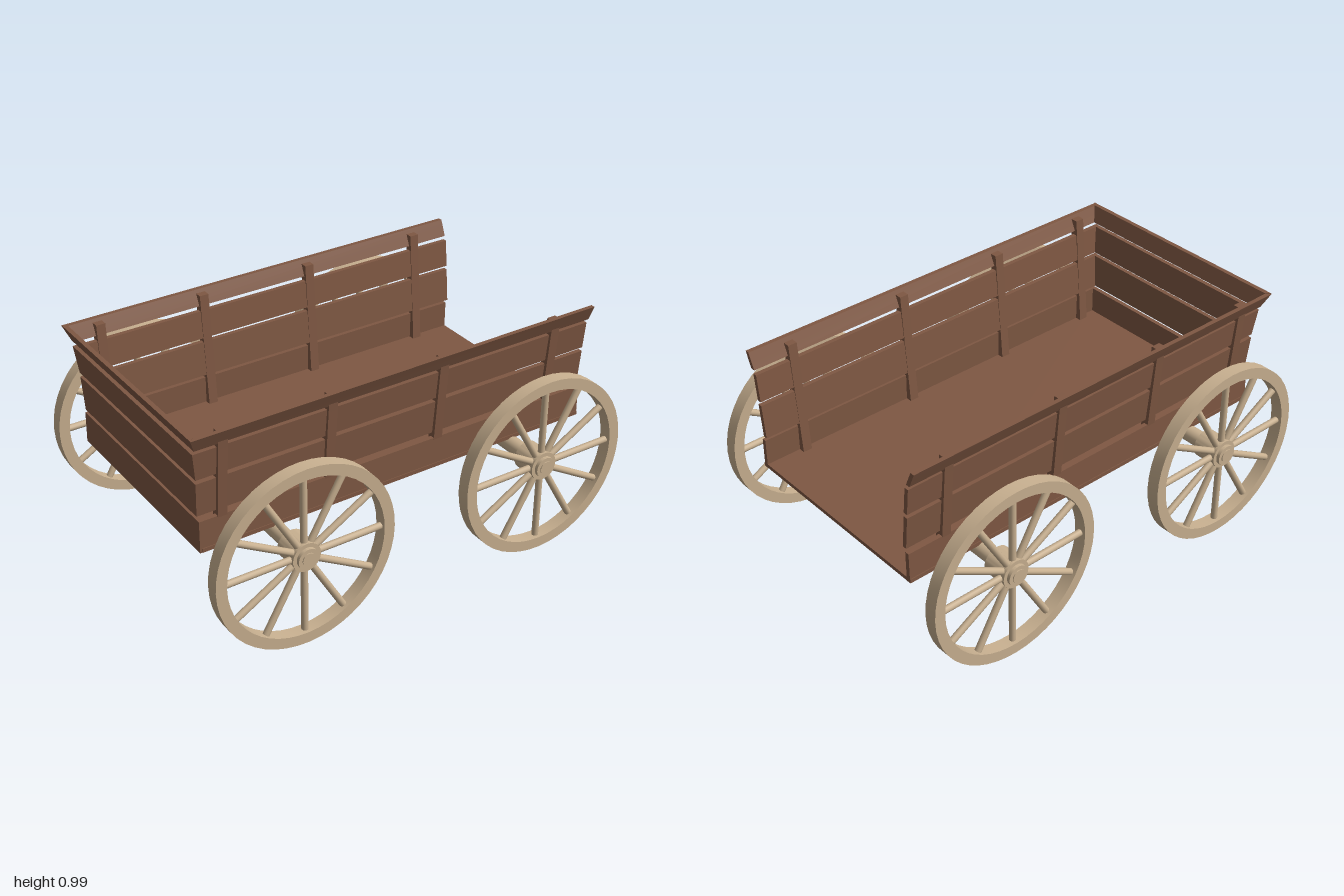
import * as THREE from 'three';
import { toCreasedNormals } from 'three/addons/utils/BufferGeometryUtils.js';

const wood = new THREE.MeshStandardMaterial({ color: 0x7f5843 });
wood.name = 'brown planks';
const pale = new THREE.MeshStandardMaterial({ color: 0xc8b090 });
pale.name = 'pale wheel wood';

function mesh(name, geometry, material) {
  const m = new THREE.Mesh(geometry, material);
  m.name = name;
  return m;
}

// Box whose corners are moved by rule(sx, sy, sz), each sign -1 or 1
function skewBox(rule) {
  const g = new THREE.BoxGeometry(2, 2, 2);
  const p = g.attributes.position;
  for (let i = 0; i < p.count; i++) p.setXYZ(i, ...rule(p.getX(i), p.getY(i), p.getZ(i)));
  g.computeVertexNormals();
  return g;
}

// Turned part around the z axis from [radius, z] points
function turned(points) {
  const g = new THREE.LatheGeometry(points.map(([r, z]) => new THREE.Vector2(r, z)), 48);
  g.rotateX(Math.PI / 2);
  return toCreasedNormals(g, 0.6);
}

// Plank rows: bottom and top heights, side offsets and closed-end offsets
const ROWS = [
  { y: [0.44, 0.582], z: [0.492, 0.49], x: [0.94, 0.938] },
  { y: [0.602, 0.757], z: [0.477, 0.492], x: [0.94, 0.945] },
  { y: [0.775, 0.9], z: [0.493, 0.506], x: [0.945, 0.96] },
  { y: [0.92, 0.988], z: [0.516, 0.546], x: [0.957, 0.985] },
];
const THICK = 0.02, OPEN_END = 0.95, SHIFT = -0.007;

function createBed() {
  const bed = new THREE.Group();
  bed.name = 'bed';
  bed.position.z = SHIFT;

  const floor = mesh('floor', new THREE.BoxGeometry(1.88, 0.018, 0.99), wood);
  floor.position.set(0.01, 0.45, 0);
  bed.add(floor);

  ROWS.forEach((row, r) => {
    const pick = (pair, s) => pair[s > 0 ? 1 : 0];
    // side planks, mitred at the closed end
    for (const side of [1, -1]) {
      bed.add(mesh('sidePlank' + (r + 1), skewBox((sx, sy, sz) => {
        const inset = sz === side ? 0 : THICK;
        const x = sx > 0 ? OPEN_END : -pick(row.x, sy) + inset;
        const lift = r === 3 && sy > 0 ? sx * 0.003 : 0;
        return [x, pick(row.y, sy) + lift, side * (pick(row.z, sy) - inset)];
      }), wood));
    }
    // closed end planks
    bed.add(mesh('endPlank' + (r + 1), skewBox((sx, sy, sz) => {
      const inset = sx < 0 ? 0 : THICK;
      return [-pick(row.x, sy) + inset, pick(row.y, sy), sz * (pick(row.z, sy) - inset)];
    }), wood));
  });

  // leaning uprights inside and outside the side planks
  for (const side of [1, -1]) {
    for (const x of [-0.835, -0.345, 0.19, 0.765]) {
      const post = (name, low, high) => bed.add(mesh(name, skewBox((sx, sy, sz) => {
        const [y, inner, outer] = sy < 0 ? low : high;
        return [x + sx * 0.021, y, side * (sz === side ? outer : inner)];
      }), wood));
      post('innerPost', [0.455, 0.443, 0.474], [0.972, 0.487, 0.524]);
      post('outerPost', [0.56, 0.465, 0.489], [0.925, 0.495, 0.519]);
    }
  }
  return bed;
}

// Wheel centred on the origin, outer face toward +z
function createWheel() {
  const wheel = new THREE.Group();
  wheel.name = 'wheel';
  wheel.add(mesh('rim', turned([
    [0.36, -0.029], [0.409, -0.029], [0.409, 0.029], [0.36, 0.029], [0.36, -0.029],
  ]), pale));
  wheel.add(mesh('hub', turned([
    [0, -0.093], [0.064, -0.093], [0.064, 0.022], [0.047, 0.022], [0.047, 0.037],
    [0.03, 0.037], [0.03, 0.041], [0, 0.041],
  ]), pale));
  for (let i = 0; i < 12; i++) {
    const g = new THREE.CylinderGeometry(0.015, 0.015, 0.32, 12);
    g.translate(0, 0.21, 0);
    const spoke = mesh('spoke', g, pale);
    spoke.rotation.z = i * Math.PI / 6;
    wheel.add(spoke);
  }
  return wheel;
}

export function createModel() {
  const wagon = new THREE.Group();
  wagon.name = 'wagon';
  wagon.add(createBed());

  for (const x of [-0.592, 0.588]) {
    const axle = mesh('axle', new THREE.CylinderGeometry(0.036, 0.036, 1.24, 32), pale);
    axle.rotation.x = Math.PI / 2;
    axle.position.set(x, 0.412, 0);
    wagon.add(axle);
    for (const side of [1, -1]) {
      const wheel = createWheel();
      wheel.position.set(x, 0.412, side * 0.679);
      if (side < 0) wheel.rotation.y = Math.PI;
      wagon.add(wheel);
    }
  }
  return wagon;
}
